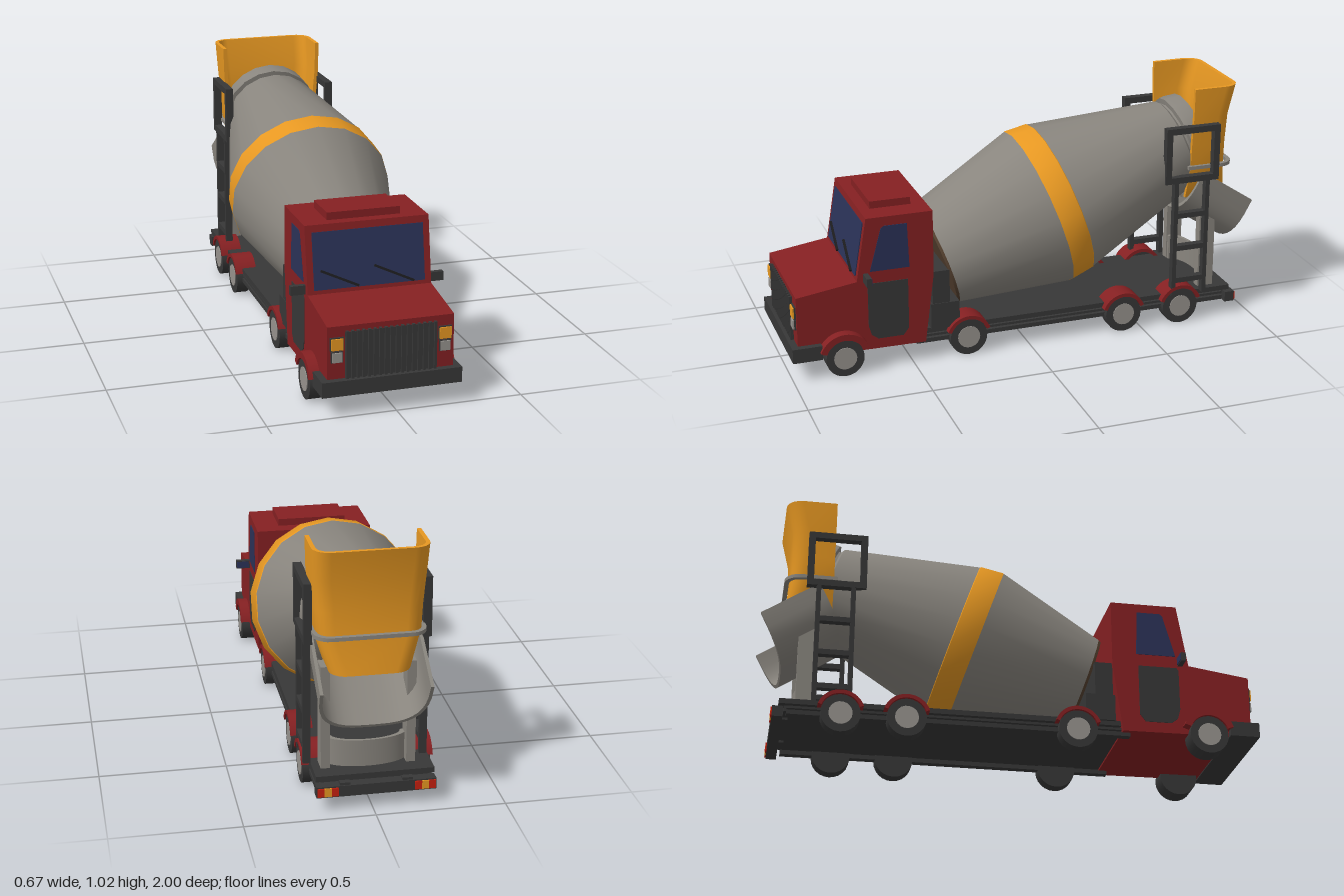
import * as THREE from 'three';
import { toCreasedNormals } from 'three/addons/utils/BufferGeometryUtils.js';

const mat = (name, color, side = THREE.FrontSide) => {
  const m = new THREE.MeshStandardMaterial({ color, side });
  m.name = name;
  return m;
};

export function createModel() {
  const red = mat('cab red', 0x852022), dark = mat('dark metal', 0x373737);
  const grey = mat('drum grey', 0x89857e, THREE.DoubleSide), orange = mat('orange', 0xe79822, THREE.DoubleSide);
  const glass = mat('window blue', 0x2b3258), black = mat('wiper black', 0x1e1e20);
  const pale = mat('hub grey', 0x97938e), tail = mat('tail light red', 0xc8200f);
  const brown = mat('rim brown', 0x54402f);

  const root = new THREE.Group();
  root.name = 'mixerTruck';
  const truck = new THREE.Group(); // cab, chassis and wheels sit slightly off centre
  truck.name = 'truckBody';
  truck.position.x = -0.0155;
  root.add(truck);

  const add = (parent, name, geo, material, x = 0, y = 0, z = 0) => {
    const m = new THREE.Mesh(geo, material);
    m.name = name;
    m.position.set(x, y, z);
    parent.add(m);
    return m;
  };
  // box from its extents
  const box = (parent, name, material, x0, x1, y0, y1, z0, z1) =>
    add(parent, name, new THREE.BoxGeometry(x1 - x0, y1 - y0, z1 - z0), material, (x0 + x1) / 2, (y0 + y1) / 2, (z0 + z1) / 2);
  // (z, y) outline extruded across x
  const across = (shape, width) =>
    new THREE.ExtrudeGeometry(shape, { depth: width, bevelEnabled: false, curveSegments: 10 })
      .translate(0, 0, -width / 2).rotateY(-Math.PI / 2);
  const outline = pts => new THREE.Shape(pts.map(p => new THREE.Vector2(...p)));
  // skin through closed wall sections (outer line out, inner line back)
  const loft = rings => {
    const n = rings[0].length, pos = rings.flat(2), idx = [];
    for (let k = 0; k < rings.length - 1; k++)
      for (let i = 0; i < n; i++) {
        const a = k * n + i, b = k * n + (i + 1) % n;
        idx.push(a, b, a + n, b, b + n, a + n);
      }
    const last = (rings.length - 1) * n;
    for (let i = 0; i < n / 2 - 1; i++) {
      const j = n - 1 - i;
      idx.push(i, j, i + 1, i + 1, j, j - 1);
      idx.push(last + i, last + i + 1, last + j, last + i + 1, last + j - 1, last + j);
    }
    const g = new THREE.BufferGeometry();
    g.setAttribute('position', new THREE.Float32BufferAttribute(pos, 3));
    g.setIndex(idx);
    return toCreasedNormals(g, 0.6);
  };

  // ---- cab ----
  add(truck, 'cab', across(outline([[0.973, 0.09], [0.973, 0.35], [0.726, 0.386], [0.683, 0.648],
    [0.41, 0.648], [0.41, 0.375], [0.447, 0.085]]), 0.494), red);
  box(truck, 'roofVent', red, -0.146, 0.146, 0.645, 0.678, 0.472, 0.64);
  box(truck, 'hoodLip', red, -0.247, 0.247, 0.35, 0.374, 0.722, 0.735);
  box(truck, 'frontBumper', dark, -0.274, 0.274, 0.084, 0.144, 0.88, 1.0);
  box(truck, 'grille', dark, -0.178, 0.178, 0.144, 0.325, 0.96, 0.977);
  for (let i = 0; i < 17; i++) {
    const x = -0.172 + i * 0.0215;
    box(truck, 'grilleSlat', dark, x - 0.005, x + 0.005, 0.144, 0.331, 0.97, 0.986);
  }

  const screen = new THREE.Group();
  screen.name = 'windscreenGroup';
  screen.position.set(0, 0.51, 0.7055);
  screen.rotation.x = -0.163;
  truck.add(screen);
  box(screen, 'windscreen', glass, -0.221, 0.221, -0.11, 0.112, -0.004, 0.004);
  for (const [x, len] of [[-0.12, 0.163], [0.097, 0.172]])
    add(screen, 'wiper', new THREE.BoxGeometry(len, 0.009, 0.008), black, x, -0.07, 0.009).rotation.z = -0.44;

  const windowShape = outline([[0.672, 0.423], [0.624, 0.6], [0.612, 0.61], [0.517, 0.61], [0.51, 0.423]]);
  const doorShape = outline([[0.683, 0.36], [0.675, 0.372], [0.517, 0.372], [0.517, 0.16], [0.54, 0.13],
    [0.645, 0.13], [0.672, 0.15], [0.683, 0.19]]);
  for (const s of [1, -1]) {
    add(truck, 'sideWindow', across(windowShape, 0.006), glass, s * 0.2465);
    add(truck, 'doorPanel', across(doorShape, 0.006), dark, s * 0.2465);
    add(truck, 'mirror', new THREE.BoxGeometry(0.065, 0.036, 0.02), dark, s * 0.274, 0.4, 0.69);
    add(truck, 'mirrorGlass', new THREE.BoxGeometry(0.052, 0.028, 0.004), glass, s * 0.278, 0.4, 0.679);
    add(truck, 'indicatorFrame', new THREE.BoxGeometry(0.052, 0.052, 0.02), dark, s * 0.211, 0.282, 0.97);
    add(truck, 'indicator', new THREE.BoxGeometry(0.046, 0.044, 0.008), orange, s * 0.211, 0.282, 0.982);
    add(truck, 'headlightFrame', new THREE.BoxGeometry(0.044, 0.043, 0.02), dark, s * 0.211, 0.231, 0.97);
    add(truck, 'headlight', new THREE.BoxGeometry(0.038, 0.037, 0.008), pale, s * 0.211, 0.231, 0.982);
  }

  // ---- chassis ----
  box(truck, 'deck', dark, -0.228, 0.228, 0.112, 0.133, -0.91, 0.48);
  box(truck, 'rearTank', dark, -0.235, 0.235, 0.13, 0.38, 0.34, 0.412);
  box(truck, 'tankStep', dark, -0.238, 0.238, 0.13, 0.24, 0.3, 0.42);
  box(truck, 'underside', dark, -0.205, 0.205, 0.09, 0.114, -0.89, 0.445);
  for (const s of [1, -1]) {
    add(truck, 'upperRail', new THREE.BoxGeometry(0.02, 0.01, 1.36), dark, s * 0.215, 0.1, -0.2);
    add(truck, 'lowerRail', new THREE.BoxGeometry(0.03, 0.018, 1.36), dark, s * 0.212, 0.079, -0.2);
    add(truck, 'bumperBracket', new THREE.BoxGeometry(0.04, 0.03, 0.06), dark, s * 0.12, 0.095, -0.9);
  }
  box(truck, 'rearBumper', dark, -0.23, 0.23, 0.056, 0.1, -0.935, -0.893);
  for (const s of [1, -1])
    [tail, orange, tail].forEach((m, i) =>
      add(truck, 'tailLight', new THREE.BoxGeometry(0.027, 0.034, 0.008), m, s * (0.214 - i * 0.027), 0.078, -0.936));

  // ---- wheels and mudguards ----
  for (const z of [0.79, 0.265, -0.415, -0.673]) {
    const front = z > 0.5, out = front ? 0.281 : 0.25, width = out - 0.197, r = front ? 0.106 : 0.095;
    const guard = new THREE.Shape();
    guard.absarc(0, 0, r, 0.35, Math.PI - 0.35, false);
    guard.absarc(0, 0, 0.08, Math.PI - 0.35, 0.35, true);
    const guardGeo = toCreasedNormals(across(guard, 0.09), 0.6);
    const tyreGeo = new THREE.CylinderGeometry(0.078, 0.078, width, 24).rotateZ(Math.PI / 2);
    const hubGeo = new THREE.CylinderGeometry(0.047, 0.047, 0.02, 18).rotateZ(Math.PI / 2);
    for (const s of [1, -1]) {
      add(truck, 'tyre', tyreGeo, dark, s * (out - width / 2), 0.079, z);
      add(truck, 'wheelHub', hubGeo, pale, s * (out - 0.007), 0.079, z);
      add(truck, 'mudguard', guardGeo, red, s * (out - 0.038), 0.079, z);
    }
  }

  // ---- drum: profile sections spun about a tilted axis ----
  const drum = new THREE.Group();
  drum.name = 'drum';
  drum.position.set(0, 0.364, 0.336);
  drum.rotation.x = -1.244;
  root.add(drum);
  const spin = (name, m, pts) =>
    add(drum, name, toCreasedNormals(new THREE.LatheGeometry(pts.map(p => new THREE.Vector2(...p)), 18), 0.5), m);
  spin('drumFrontRim', brown, [[0, -0.003], [0.22, -0.003], [0.225, 0.008]]);
  spin('drumFront', grey, [[0.2235, 0.006], [0.34, 0.471]]);
  spin('drumBand', orange, [[0.34, 0.471], [0.341, 0.475], [0.332, 0.568], [0.329, 0.571]]);
  spin('drumRear', grey, [[0.329, 0.571], [0.196, 1.115], [0.182, 1.125]]);
  spin('drumCollar', grey, [[0.178, 1.11], [0.178, 1.135], [0.2, 1.14], [0.2, 1.16], [0.19, 1.21], [0.18, 1.21], [0.178, 1.2], [0, 1.2]]);

  // ---- hopper: U-shaped walls open to the front ----
  const uLine = (y, w, zf, zb, r) => {
    const half = [[w, y, zf]];
    for (let i = 0; i <= 5; i++) {
      const a = i / 5 * Math.PI / 2;
      half.push([w - r + r * Math.cos(a), y, zb + r - r * Math.sin(a)]);
    }
    return [...half, ...half.map(([x, h, z]) => [-x, h, z]).reverse()];
  };
  const uRing = (y, w, zf, zb, t) =>
    [...uLine(y, w, zf, zb, 0.065), ...uLine(y, w - t, zf, zb + t, 0.065 - t).reverse()];
  add(root, 'hopper', loft([[1.025, 0.219, -0.92], [0.9, 0.216, -0.89], [0.78, 0.205, -0.887], [0.68, 0.2, -0.887], [0.535, 0.155, -0.912]]
    .map(([y, w, zb]) => uRing(y, w, -0.716, zb, 0.016))), orange);
  add(root, 'hopperBand', loft([0.692, 0.677].map(y => uRing(y, 0.214, -0.702, -0.912, 0.018))), grey);

  // ---- discharge chute: trough with rounded corners, sloping down to the back ----
  const arc = (w, d) => Array.from({ length: 19 }, (_, i) => {
    const a = (i / 18 - 0.5) * Math.PI, sn = Math.sin(a);
    return [w * Math.sign(sn) * Math.abs(sn) ** 0.65, 0.21 - d * Math.abs(Math.cos(a)) ** 0.65];
  });
  const section = [...arc(0.213, 0.21), ...arc(0.2, 0.197).reverse()];
  add(root, 'chute', loft([[0.47, -0.675], [0.32, -0.903]].map(([y, z]) =>
    section.map(([x, h]) => [x, y + h * 0.9, z - h * 0.46]))), grey);

  // ---- rear pedestal ----
  const wall = new THREE.Shape();
  wall.absarc(0, 0, 0.16, 0, Math.PI, false);
  wall.absarc(0, 0, 0.135, Math.PI, 0, true);
  const wallGeo = new THREE.ExtrudeGeometry(wall, { depth: 0.11, bevelEnabled: false, curveSegments: 14 })
    .rotateX(-Math.PI / 2).scale(1, 1, 0.45);
  add(root, 'pedestalWall', toCreasedNormals(wallGeo, 0.5), grey, 0, 0.131, -0.78);
  for (const s of [1, -1])
    add(root, 'pedestalPost', new THREE.BoxGeometry(0.035, 0.42, 0.07), grey, s * 0.165, 0.34, -0.81);

  // ---- ladders with guard frames ----
  for (const s of [1, -1]) {
    const ladder = new THREE.Group();
    ladder.name = 'ladder';
    ladder.position.x = s * 0.226;
    root.add(ladder);
    for (const z of [-0.638, -0.777]) box(ladder, 'ladderRail', dark, -0.015, 0.015, 0.13, 0.64, z - 0.009, z + 0.009);
    for (const y of [0.2, 0.345, 0.49]) box(ladder, 'ladderRung', dark, -0.015, 0.015, y - 0.011, y + 0.011, -0.777, -0.638);
    for (const z of [-0.6, -0.812]) box(ladder, 'guardPost', dark, -0.016, 0.016, 0.635, 0.874, z - 0.013, z + 0.013);
    for (const y of [0.648, 0.861]) box(ladder, 'guardBar', dark, -0.016, 0.016, y - 0.013, y + 0.013, -0.81, -0.6);
  }
  return root;
}
